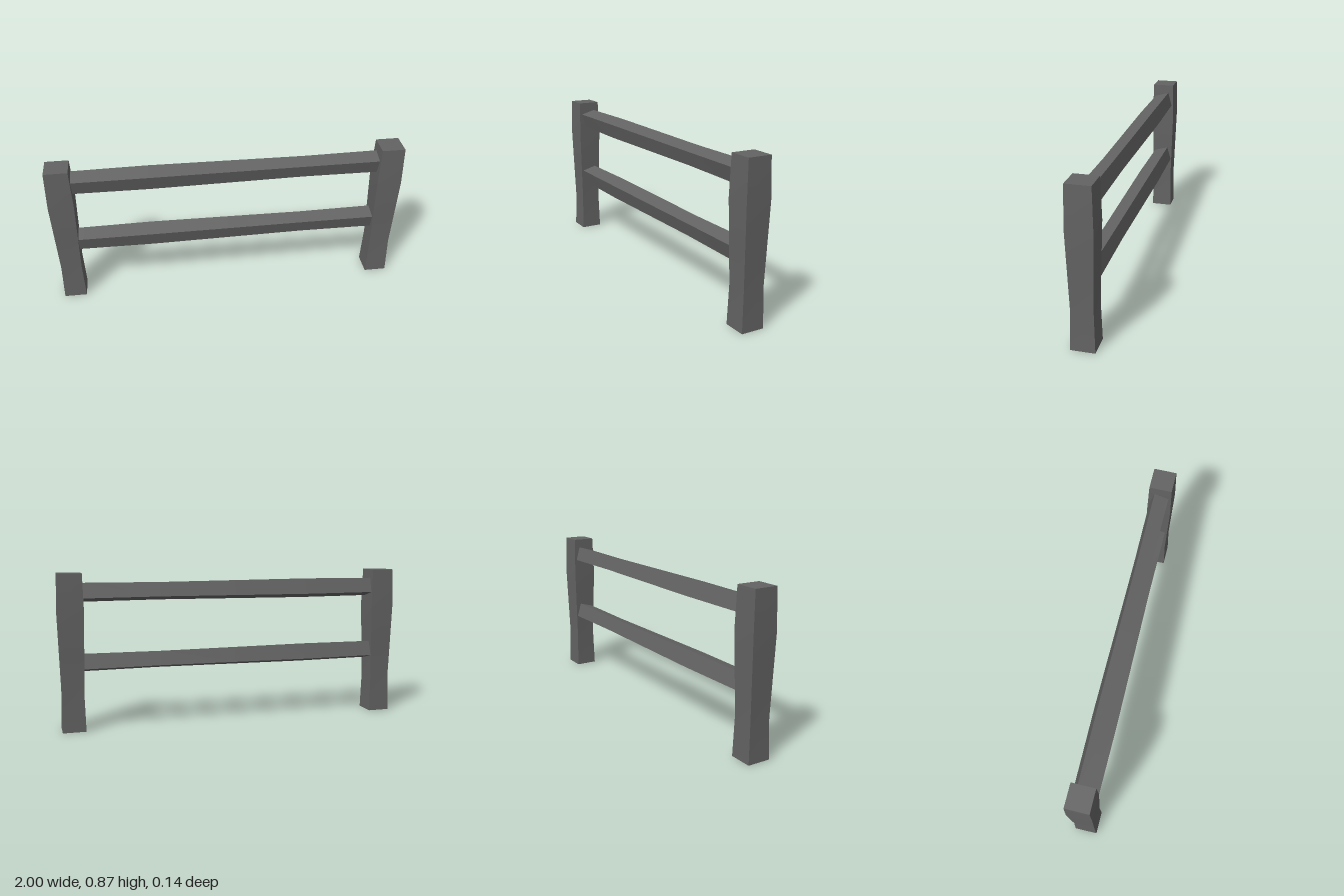
import * as THREE from 'three';

const material = new THREE.MeshStandardMaterial({ color: 0x636363, side: THREE.DoubleSide });

// Square timber along y: waisted in the lower half, swollen in the upper half
function beamGeometry(length, half, swell) {
  const geo = new THREE.BoxGeometry(2 * half, length, 2 * half, 1, 4, 1);
  const pos = geo.attributes.position;
  for (let i = 0; i < pos.count; i++) {
    const t = pos.getY(i) / length + 0.5;
    const s = 1 - swell * Math.sin(2 * Math.PI * t) + 0.015 * t;
    pos.setX(i, pos.getX(i) * s);
    pos.setZ(i, pos.getZ(i) * s);
  }
  // Leave the lower end open
  const cap = geo.groups[3];
  const index = Array.from(geo.index.array);
  index.splice(cap.start, cap.count);
  geo.setIndex(index);
  geo.clearGroups();
  geo.computeVertexNormals();
  return geo;
}

export function createModel() {
  const fence = new THREE.Group();
  fence.name = 'fence';

  // Upright posts
  const postGeo = beamGeometry(0.874, 0.0642, 0.088);
  postGeo.translate(0, 0.437, 0);
  for (const side of [-1, 1]) {
    const post = new THREE.Mesh(postGeo, material);
    post.name = side > 0 ? 'leftPost' : 'rightPost';
    post.position.x = side * 0.93;
    fence.add(post);
  }

  // Horizontal rails, rolled slightly about their length
  const railGeo = beamGeometry(1.75, 0.0436, 0.06);
  railGeo.rotateZ(Math.PI / 2);
  for (const [name, y] of [['lowerRail', 0.379], ['upperRail', 0.768]]) {
    const rail = new THREE.Mesh(railGeo, material);
    rail.name = name;
    rail.position.set(0, y, -0.003);
    rail.rotation.x = 0.28;
    fence.add(rail);
  }
  return fence;
}
